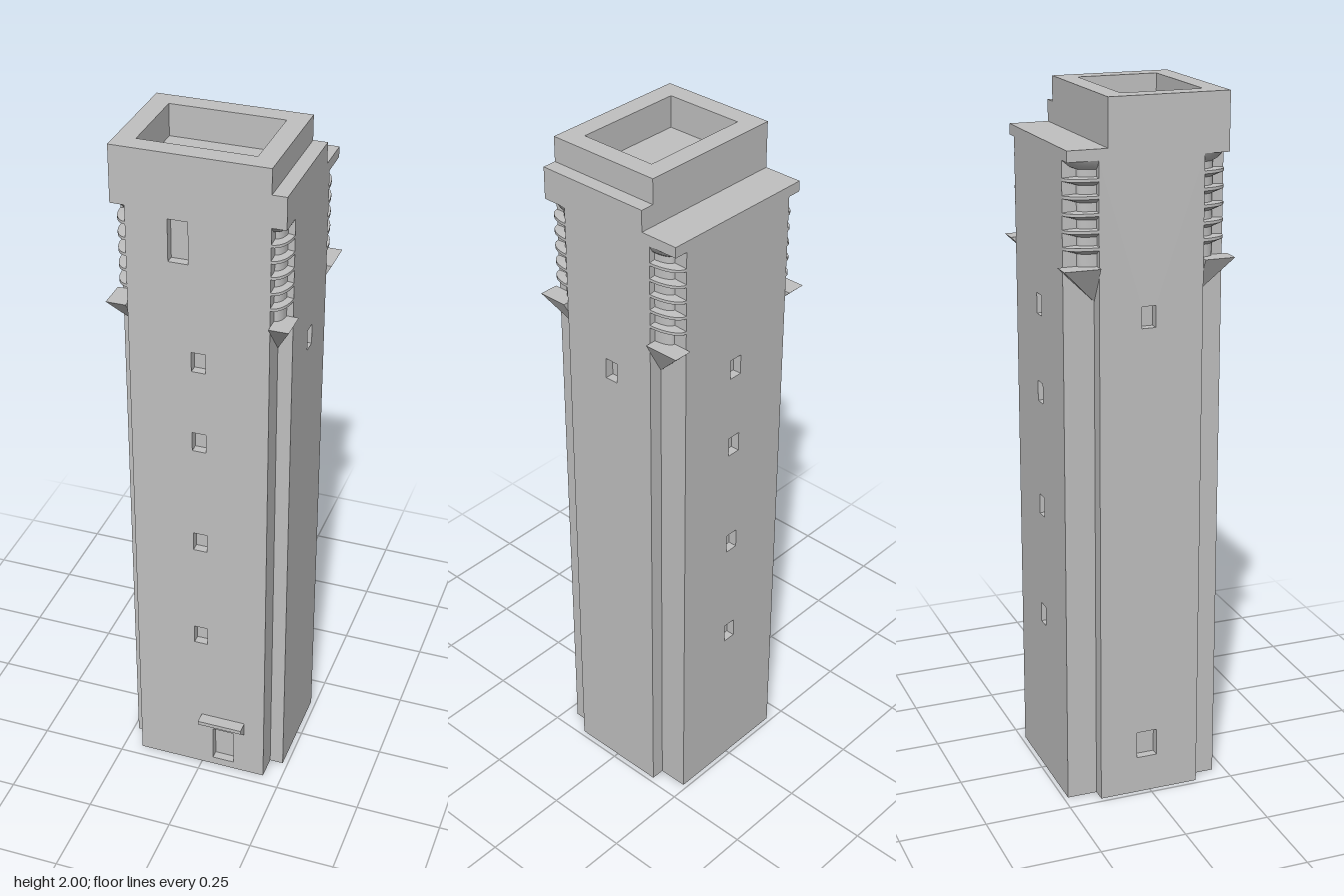
import * as THREE from 'three';
import { toCreasedNormals } from 'three/addons/utils/BufferGeometryUtils.js';
import { ConvexGeometry } from 'three/addons/geometries/ConvexGeometry.js';

const stone = new THREE.MeshStandardMaterial({ color: 0xc0c0c0 });
stone.name = 'stone';

const DEPTH = 0.025; // depth of the window recesses
const TOP = 1.84; // height where the notched corners end

export function createModel() {
  const model = new THREE.Group();
  model.name = 'tower';

  function add(name, geometry) {
    const mesh = new THREE.Mesh(geometry, stone);
    mesh.name = name;
    model.add(mesh);
    return mesh;
  }

  // box given by its limits on each axis
  function block(name, x0, x1, y0, y1, z0, z1) {
    const g = new THREE.BoxGeometry(x1 - x0, y1 - y0, z1 - z0);
    g.translate((x0 + x1) / 2, (y0 + y1) / 2, (z0 + z1) / 2);
    return add(name, g);
  }

  function rect(Type, x0, x1, y0, y1) {
    return new Type([[x0, y0], [x1, y0], [x1, y1], [x0, y1]].map((p) => new THREE.Vector2(...p)));
  }

  // wall skin with openings, turned to its side of the tower
  function wall(name, u0, u1, openings, distance, angle) {
    const shape = rect(THREE.Shape, u0, u1, 0, TOP);
    for (const o of openings) shape.holes.push(rect(THREE.Path, ...o));
    const g = new THREE.ExtrudeGeometry(shape, { depth: DEPTH, bevelEnabled: false });
    g.translate(0, 0, distance - DEPTH);
    g.rotateY(angle);
    add(name, g);
  }

  // cross-shaped core behind the wall skins
  block('coreWide', -0.21, 0.21, 0, TOP, -0.15, 0.145);
  block('coreDeep', -0.195, 0.195, 0, TOP, -0.212, 0.19);

  // walls with slit windows and doorways
  const slits = [0.465, 0.8, 1.135, 1.385].map((y) => [-0.02, 0.02, y, y + 0.058]);
  const upperWindow = [-0.08, -0.025, 1.7, 1.82];
  const door = [0.035, 0.1, 0.025, 0.14];
  wall('frontWall', -0.195, 0.195, [...slits, upperWindow, door], 0.215, 0);
  wall('backWall', -0.195, 0.195, slits, 0.237, Math.PI);
  wall('rightWall', -0.145, 0.15, [[-0.01, 0.03, 1.385, 1.445]], 0.235, Math.PI / 2);
  wall('leftWall', -0.15, 0.145, [[-0.03, 0.01, 1.385, 1.445], [-0.04, 0.02, 0.11, 0.19]], 0.235, -Math.PI / 2);

  // stepped top
  block('backLedge', -0.235, 0.235, TOP, 1.87, -0.237, -0.125);
  block('sideLedge', 0.195, 0.235, TOP, 1.93, -0.125, 0.215);
  block('topBlock', -0.235, 0.195, TOP, 1.91, -0.125, 0.215);

  // parapet around the sunken roof
  const rim = rect(THREE.Shape, -0.235, 0.195, -0.215, 0.125);
  rim.holes.push(rect(THREE.Path, -0.18, 0.14, -0.16, 0.07));
  const parapet = new THREE.ExtrudeGeometry(rim, { depth: 0.09, bevelEnabled: false });
  parapet.rotateX(-Math.PI / 2);
  parapet.translate(0, 1.91, 0);
  add('parapet', parapet);

  // ringed profile of the corner columns, radius 1 fills the notch
  const profile = [[0.55, 1.56]];
  for (let i = 0; i < 5; i++) {
    const y = 1.594 + i * 0.045;
    profile.push([0.55, y], [1, y + 0.012], [1, y + 0.02], [0.55, y + 0.022]);
  }
  profile.push([0.55, 1.815], [0.75, 1.822], [1, TOP]);
  const points = profile.map((p) => new THREE.Vector2(...p));

  // corners: inner notch point, column radii, bracket tip
  const corners = [
    ['FrontRight', 0.195, 0.145, 0.04, 0.07, 0.25, 0.23],
    ['BackRight', 0.195, -0.15, 0.04, 0.087, 0.25, -0.252],
    ['BackLeft', -0.195, -0.15, 0.04, 0.087, -0.25, -0.252],
    ['FrontLeft', -0.195, 0.145, 0.04, 0.07, -0.25, 0.23],
  ];
  corners.forEach(([name, x, z, rx, rz, ox, oz], i) => {
    const g = new THREE.LatheGeometry(points, 8, i * Math.PI / 2, Math.PI / 2);
    g.scale(rx, 1, rz);
    g.translate(x, 0, z);
    add('column' + name, toCreasedNormals(g, 0.5));

    // inverted pyramid bracket below the column
    add('bracket' + name, new ConvexGeometry([
      [x, 1.46, z], [x, 1.56, z], [ox, 1.56, z], [ox, 1.56, oz], [x, 1.56, oz],
    ].map((p) => new THREE.Vector3(...p))));
  });

  // door canopy, sloped underneath
  const section = new THREE.Shape([[0, 0.145], [0.035, 0.178], [0.035, 0.19], [0, 0.19]]
    .map((p) => new THREE.Vector2(...p)));
  const canopy = new THREE.ExtrudeGeometry(section, { depth: 0.134, bevelEnabled: false });
  canopy.rotateY(-Math.PI / 2);
  canopy.translate(0.134, 0, 0.215);
  add('doorCanopy', canopy);

  return model;
}
